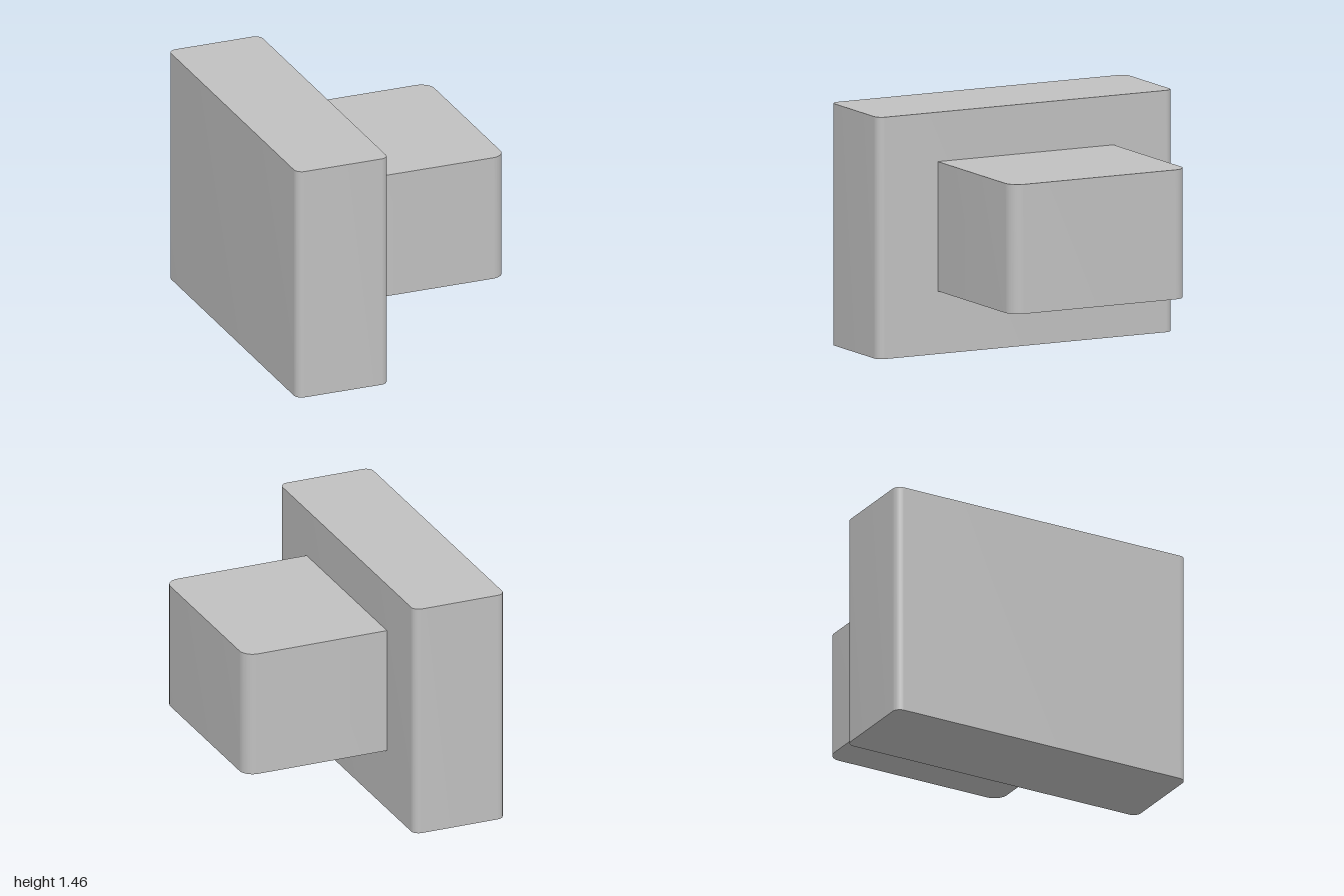
import * as THREE from 'three';
import { toCreasedNormals } from 'three/addons/utils/BufferGeometryUtils.js';

// Upright prism: plan runs x0..x1 by -halfZ..halfZ, with separate corner radii at each x end
function prism(name, material, { x0, x1, halfZ, y0, y1, r0, r1 }) {
  const s = new THREE.Shape();
  s.moveTo(x0 + r0, -halfZ);
  s.lineTo(x1 - r1, -halfZ);
  s.absarc(x1 - r1, -halfZ + r1, r1, -Math.PI / 2, 0);
  s.lineTo(x1, halfZ - r1);
  s.absarc(x1 - r1, halfZ - r1, r1, 0, Math.PI / 2);
  s.lineTo(x0 + r0, halfZ);
  if (r0 > 0) s.absarc(x0 + r0, halfZ - r0, r0, Math.PI / 2, Math.PI);
  s.lineTo(x0, -halfZ + r0);
  if (r0 > 0) s.absarc(x0 + r0, -halfZ + r0, r0, Math.PI, Math.PI * 1.5);

  const extruded = new THREE.ExtrudeGeometry(s, { depth: y1 - y0, bevelEnabled: false, curveSegments: 10 });
  extruded.rotateX(-Math.PI / 2).translate(0, y0, 0);
  const mesh = new THREE.Mesh(toCreasedNormals(extruded, Math.PI / 6), material);
  mesh.name = name;
  return mesh;
}

export function createModel() {
  const group = new THREE.Group();
  group.name = 'plugBlock';
  const grey = new THREE.MeshStandardMaterial({ color: 0xc0c0c0 });
  grey.name = 'light grey';

  // Tall slab, all four upright edges rounded
  group.add(prism('slab', grey, { x0: -0.757, x1: -0.165, halfZ: 1, y0: 0, y1: 1.462, r0: 0.05, r1: 0.05 }));
  // Block standing out of the slab, rounded only on its free end
  group.add(prism('block', grey, { x0: -0.165, x1: 0.757, halfZ: 0.595, y0: 0.38, y1: 1.163, r0: 0, r1: 0.085 }));
  return group;
}
